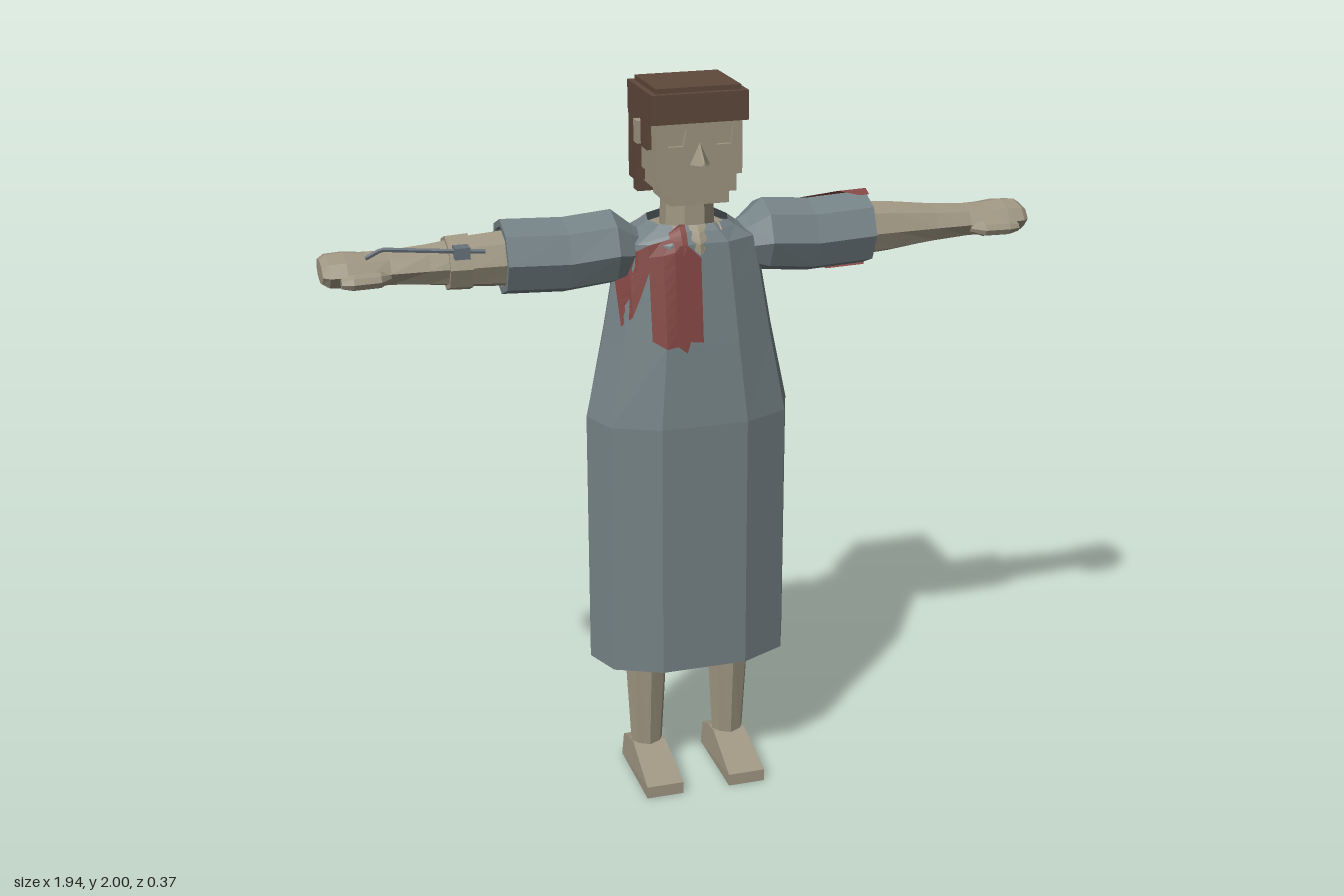
import * as THREE from 'three';

const mat = (name, color, side = THREE.FrontSide) => {
  const m = new THREE.MeshStandardMaterial({ color, side, flatShading: true });
  m.name = name;
  return m;
};

// Faceted skin through rings of [x,y,z] points, wound outwards
function loft(rings, capStart = true, capEnd = true) {
  const tris = [], n = rings[0].length;
  for (let r = 0; r < rings.length - 1; r++) {
    for (let i = 0; i < n; i++) {
      const j = (i + 1) % n, a = rings[r], b = rings[r + 1];
      tris.push([a[i], a[j], b[j]], [a[i], b[j], b[i]]);
    }
  }
  const last = rings[rings.length - 1];
  for (let i = 1; i < n - 1; i++) {
    if (capStart) tris.push([rings[0][0], rings[0][i + 1], rings[0][i]]);
    if (capEnd) tris.push([last[0], last[i], last[i + 1]]);
  }
  // Flip the winding if the enclosed volume comes out negative
  const mid = new THREE.Vector3();
  rings.flat().forEach(p => mid.add(new THREE.Vector3(...p)));
  mid.divideScalar(rings.length * n);
  let volume = 0;
  for (const t of tris) {
    const [a, b, c] = t.map(p => new THREE.Vector3(...p).sub(mid));
    volume += a.dot(b.cross(c));
  }
  return triangles(volume < 0 ? tris.map(t => [t[0], t[2], t[1]]) : tris);
}

function triangles(tris) {
  const g = new THREE.BufferGeometry();
  g.setAttribute('position', new THREE.Float32BufferAttribute(tris.flat(2), 3));
  g.computeVertexNormals();
  return g;
}

// Open sheet over a grid of points
function sheet(rows) {
  const tris = [];
  for (let r = 0; r < rows.length - 1; r++) {
    for (let i = 0; i < rows[r].length - 1; i++) {
      const a = rows[r][i], b = rows[r][i + 1], c = rows[r + 1][i + 1], d = rows[r + 1][i];
      tris.push([a, d, c], [a, c, b]);
    }
  }
  return triangles(tris);
}

// Eight-sided rings along x, given as [x, centreY, centreZ, radiusY, radiusZ]
const armRings = (list, s) => list.map(([x, y, z, ry, rz]) =>
  Array.from({ length: 8 }, (_, i) => {
    const a = i * Math.PI / 4;
    return [s * x, y + ry * Math.cos(a), z + rz * Math.sin(a)];
  }));

// Gown levels [y, halfWidth, frontZ, backZ] and half its outline
const LEVELS = [[0.38, 0.285, 0.165, 0.18], [1.1, 0.285, 0.165, 0.18], [1.32, 0.238, 0.145, 0.165],
  [1.5, 0.205, 0.125, 0.15], [1.59, 0.185, 0.115, 0.14], [1.62, 0.13, 0.1, 0.115], [1.635, 0.11, 0.085, 0.1]];
const OUTLINE = [[0, 1], [0.42, 1], [0.86, 0.64], [1, 0], [0.86, -0.66], [0.42, -1], [0, -1]];

// Depth of the gown front at x, y
function frontZ(x, y) {
  let k = 0;
  while (k < LEVELS.length - 2 && y > LEVELS[k + 1][0]) k++;
  const [a, b] = [LEVELS[k], LEVELS[k + 1]];
  const t = Math.min((y - a[0]) / (b[0] - a[0]), 1);
  const w = a[1] + (b[1] - a[1]) * t, f = a[2] + (b[2] - a[2]) * t;
  const u = Math.min(Math.abs(x) / w, 1);
  const p = u < 0.42 ? 1 : u < 0.86 ? 1 - (u - 0.42) / 0.44 * 0.36 : 0.64 * (1 - u) / 0.14;
  return f * p;
}

// Thin patch on the gown front from columns of [x, lowY, highY]
const patch = (columns, lift) => sheet(columns.map(([x, lo, hi]) =>
  Array.from({ length: 9 }, (_, i) => {
    const y = lo + (hi - lo) * i / 8;
    return [x, y, frontZ(x, y) + lift];
  })));

export function createModel() {
  const model = new THREE.Group();
  const skin = mat('skin', 0x9f9682);
  const skinSheet = mat('bare chest skin', 0x9f9682, THREE.DoubleSide);
  const cloth = mat('gown cloth', 0x758286, THREE.DoubleSide);
  const hair = mat('hair', 0x5f483c);
  const blood = mat('stain', 0x834744, THREE.DoubleSide);
  const metal = mat('metal', 0x69737c);

  const add = (name, geometry, material) => {
    const m = new THREE.Mesh(geometry, material);
    m.name = name;
    model.add(m);
    return m;
  };
  const box = (name, material, x0, x1, y0, y1, z0, z1) =>
    add(name, new THREE.BoxGeometry(x1 - x0, y1 - y0, z1 - z0), material)
      .position.set((x0 + x1) / 2, (y0 + y1) / 2, (z0 + z1) / 2);

  // Gown, open at the hem and neck
  const gownRings = LEVELS.map(([y, w, f, b]) => {
    const half = OUTLINE.map(([x, z]) => [x * w, y, z * (z > 0 ? f : b)]);
    const mirrored = half.slice(1, -1).reverse().map(([px, py, pz]) => [-px, py, pz]);
    return [...half, ...mirrored];
  });
  add('gown', loft(gownRings, false, false), cloth);
  add('shoulders', loft(gownRings.slice(-2).map(r => r.map(([x, y, z]) => [x * 0.95, y - 0.02, z * 0.95]))), skin);
  add('neckline', patch([[-0.065, 1.62, 1.635], [0, 1.56, 1.635], [0.065, 1.62, 1.635]], 0.004), skinSheet);

  // Stains on the chest
  add('chestStain', patch([[-0.205, 1.37, 1.54], [-0.18, 1.4, 1.56], [-0.16, 1.45, 1.575], [-0.135, 1.52, 1.59]], 0.006), blood);
  add('chestStainLong', patch([[-0.135, 1.34, 1.59], [-0.1, 1.32, 1.6], [-0.07, 1.325, 1.61], [-0.045, 1.305, 1.6],
    [-0.035, 1.335, 1.59], [0, 1.33, 1.555]], 0.006), blood);
  add('collarStain', patch([[-0.08, 1.6, 1.62], [-0.05, 1.59, 1.64], [-0.035, 1.58, 1.64]], 0.008), blood);

  // Neck, skull and stepped jaw
  add('neck', loft([[1.57, 0.07], [1.72, 0.063]].map(([y, r]) => Array.from({ length: 8 }, (_, i) => {
    const a = (i + 0.5) * Math.PI / 4;
    return [r * 1.08 * Math.cos(a), y, r * 1.15 * Math.sin(a) - 0.005];
  }))), skin);
  box('skull', skin, -0.115, 0.115, 1.77, 1.95, -0.09, 0.1);
  box('jaw', skin, -0.1, 0.1, 1.725, 1.77, -0.07, 0.11);
  box('chin', skin, -0.08, 0.08, 1.695, 1.725, -0.05, 0.11);

  // Face plate with eye sockets
  const face = new THREE.Shape([[-0.115, 1.77], [0.115, 1.77], [0.115, 1.92], [-0.115, 1.92]].map(p => new THREE.Vector2(...p)));
  for (const s of [-1, 1]) {
    face.holes.push(new THREE.Path([[0.035, 1.895], [0.09, 1.895], [0.085, 1.85], [0.045, 1.85]]
      .map(([x, y]) => new THREE.Vector2(s * x, y))));
  }
  add('face', new THREE.ExtrudeGeometry(face, { depth: 0.012, bevelEnabled: false }).translate(0, 0, 0.099), skin);
  add('nose', loft([[[-0.03, 1.8, 0.105], [0.03, 1.8, 0.105], [0, 1.865, 0.105]],
    [[-0.006, 1.805, 0.153], [0.006, 1.805, 0.153], [0, 1.815, 0.153]]]), skin);

  // Hair cap, fringe edge, sideburns and back
  box('hairCap', hair, -0.13, 0.13, 1.91, 1.987, -0.112, 0.116);
  box('hairTop', hair, -0.114, 0.114, 1.98, 2, -0.098, 0.1);
  box('hairBack', hair, -0.128, 0.128, 1.73, 1.92, -0.112, -0.052);
  box('hairNape', hair, -0.115, 0.115, 1.693, 1.74, -0.112, -0.075);
  for (const s of [-1, 1]) {
    const span = (a, b) => s > 0 ? [a, b] : [-b, -a];
    box('sideburn', hair, ...span(0.108, 0.127), 1.835, 1.92, 0, 0.06);
    box('hairSide', hair, ...span(0.108, 0.127), 1.77, 1.92, -0.06, -0.032);
    box('ear', skin, ...span(0.11, 0.137), 1.84, 1.9, -0.032, 0.003);
  }

  const sleeve = [[0.13, 1.56, 0, 0.05, 0.055], [0.16, 1.56, 0, 0.07, 0.075], [0.21, 1.57, -0.005, 0.1, 0.107],
    [0.34, 1.558, -0.005, 0.101, 0.102], [0.505, 1.565, -0.007, 0.101, 0.102],
    [0.505, 1.565, -0.007, 0.082, 0.084], [0.47, 1.565, -0.007, 0.078, 0.08]];
  const arm = [[0.45, 1.56, -0.01, 0.078, 0.078], [0.58, 1.56, -0.01, 0.069, 0.072], [0.7, 1.56, -0.01, 0.054, 0.067],
    [0.8, 1.56, -0.012, 0.046, 0.067], [0.86, 1.56, -0.013, 0.045, 0.076], [0.91, 1.563, -0.015, 0.046, 0.08],
    [0.955, 1.563, -0.016, 0.043, 0.077], [0.972, 1.563, -0.016, 0.031, 0.062]];
  const thumb = [[0.8, 1.55, 0.04, 0.012, 0.015], [0.83, 1.55, 0.06, 0.021, 0.026],
    [0.9, 1.55, 0.065, 0.021, 0.026], [0.93, 1.55, 0.068, 0.013, 0.015]];

  for (const s of [-1, 1]) {
    const side = s > 0 ? 'left' : 'right';
    add(side + 'Sleeve', loft(armRings(sleeve, s)), cloth);
    add(side + 'Arm', loft(armRings(arm, s)), skin);
    add(side + 'Thumb', loft(armRings(thumb, s)), skin);

    // Leg, running up inside the gown
    add(side + 'Leg', loft([[0.06, 0.044, 0.036], [0.38, 0.062, 0.06], [0.75, 0.075, 0.075], [1.1, 0.085, 0.085]].map(([y, rx, rz]) =>
      Array.from({ length: 8 }, (_, i) => {
        const a = i * Math.PI / 4;
        return [s * 0.122 + rx * Math.cos(a), y, rz * Math.sin(a) - 0.003];
      }))), skin);

    // Wedge foot, narrower at the upper edge
    const profile = [[-0.085, 0], [0.185, 0], [0.185, 0.035], [0.02, 0.09], [-0.03, 0.085], [-0.085, 0.065]];
    add(side + 'Foot', loft([-1, 1].map(e => profile.map(([z, y]) =>
      [s * 0.121 + e * (y > 0.06 ? 0.047 : 0.053), y, z]))), skin);
  }

  // Stain wrapped around the back of the left sleeve
  const starts = [[0, 0.43], [-1, 0.29], [-2, 0.3], [-3, 0.31], [-4, 0.4]];
  const stainPoint = (x, k, r) => [x, 1.56 + (x - 0.34) * 0.03 + r * Math.cos(k * Math.PI / 4), -0.007 + r * Math.sin(k * Math.PI / 4)];
  add('sleeveStain', sheet([
    ...starts.map(([k, x]) => [stainPoint(x, k, 0.107), stainPoint(0.509, k, 0.107), stainPoint(0.509, k, 0.083)])]), blood);
  add('sleeveStainFront', sheet([[0, 0.43], [0.35, 0.48]].map(([k, x]) =>
    [stainPoint(x, k, k ? 0.1 : 0.107), stainPoint(0.508, k, k ? 0.1 : 0.107)])), blood);

  // Right wrist band with a thin bent rod
  add('wristBand', loft(armRings([[0.59, 1.56, -0.008, 0.075, 0.08], [0.65, 1.56, -0.008, 0.072, 0.078]], -1)), skin);
  const rod = new THREE.CurvePath();
  const bends = [[-0.56, 1.605, 0.07], [-0.66, 1.612, 0.062], [-0.82, 1.622, 0.036], [-0.86, 1.6, 0.028]].map(p => new THREE.Vector3(...p));
  for (let i = 0; i < 3; i++) rod.add(new THREE.LineCurve3(bends[i], bends[i + 1]));
  add('wristRod', new THREE.TubeGeometry(rod, 24, 0.006, 5), metal);
  box('rodClip', metal, -0.64, -0.6, 1.59, 1.62, 0.04, 0.078);

  return model;
}
